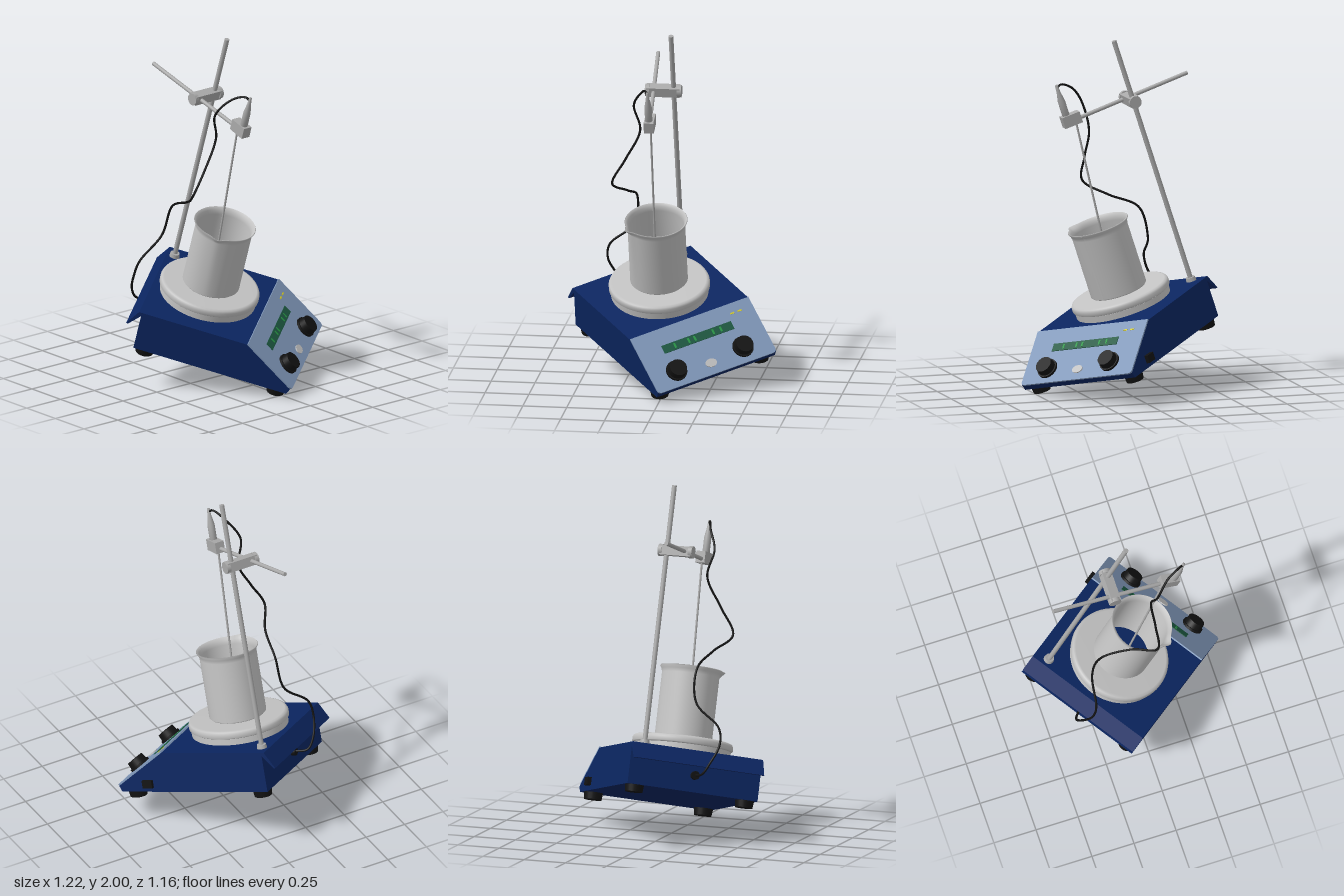
import * as THREE from 'three';

const mat = (name, hex, side = THREE.FrontSide) => {
  const m = new THREE.MeshStandardMaterial({ color: hex, side });
  m.name = name;
  return m;
};

export function createModel() {
  const navy = mat('navy housing', 0x0b2560);
  const slate = mat('slate blue panel', 0x8199bb);
  const black = mat('black rubber', 0x121212);
  const lightMetal = mat('light metal', 0xc2c2c2, THREE.DoubleSide);
  const steel = mat('steel', 0xa9a9a9);
  const screenGreen = mat('screen green', 0x1d5a42);
  const digitGreen = mat('digit green', 0x2a9a48);
  const yellow = mat('indicator yellow', 0xd8d030);

  const add = (parent, name, geo, material, x = 0, y = 0, z = 0) => {
    const m = new THREE.Mesh(geo, material);
    m.name = name;
    m.position.set(x, y, z);
    parent.add(m);
    return m;
  };
  const box = (w, h, d) => new THREE.BoxGeometry(w, h, d);
  const cyl = (r, h, r2 = r, n = 32) => new THREE.CylinderGeometry(r2, r, h, n);
  const lathe = (pts, n = 64) => new THREE.LatheGeometry(pts.map(p => new THREE.Vector2(...p)), n);
  // Cylinder running between two points
  const bar = (parent, name, a, b, r, material) => {
    const A = new THREE.Vector3(...a), B = new THREE.Vector3(...b), d = B.clone().sub(A);
    const m = add(parent, name, cyl(r, d.length(), r, 20), material);
    m.position.copy(A).add(B).multiplyScalar(0.5);
    m.quaternion.setFromUnitVectors(new THREE.Vector3(0, 1, 0), d.normalize());
    return m;
  };

  const root = new THREE.Group();
  root.name = 'hotplateStirrer';
  const tilted = new THREE.Group();
  tilted.name = 'tiltedAssembly';
  tilted.rotation.x = 0.3176;
  root.add(tilted);
  const base = new THREE.Group();
  base.name = 'base';
  base.rotation.y = 0.663;
  tilted.add(base);

  // Housing: side profile with sloped front and rear hood, extruded across the width
  const cx = 0.0575, W = 0.774;
  const profile = new THREE.Shape([
    [0.4, 0.2], [0.415, 0.235], [0.118, 0.437], [-0.52, 0.437], [-0.577, 0.345],
    [-0.566, 0.343], [-0.504, 0.415], [-0.504, 0.2],
  ].map(([z, y]) => new THREE.Vector2(-z, y)));
  const housing = new THREE.ExtrudeGeometry(profile, { depth: W, bevelEnabled: false });
  housing.rotateY(Math.PI / 2);
  add(base, 'housing', housing, navy, cx - W / 2, 0, 0);

  // Feet
  for (const x of [-0.27, 0.385]) for (const z of [-0.445, 0.33])
    add(base, 'foot', cyl(0.05, 0.045, 0.055, 24), black, x, 0.1825, z);

  // Side switch and rear cable socket
  add(base, 'sideSwitch', box(0.03, 0.045, 0.06), black, 0.452, 0.25, 0.23);
  add(base, 'cableSocket', cyl(0.024, 0.03), black, cx, 0.295, -0.514).rotation.x = Math.PI / 2;

  // Sloped control panel
  const panel = new THREE.Group();
  panel.name = 'controlPanel';
  panel.position.set(cx, 0.3375, 0.273);
  panel.rotation.x = -0.974;
  base.add(panel);
  const w = W / 2, h = 0.1825, r = 0.025;
  const face = new THREE.Shape();
  face.moveTo(-w, h);
  face.lineTo(-w, -h + r);
  face.quadraticCurveTo(-w, -h, -w + r, -h);
  face.lineTo(w - r, -h);
  face.quadraticCurveTo(w, -h, w, -h + r);
  face.lineTo(w, h);
  add(panel, 'panelFace', new THREE.ExtrudeGeometry(face, { depth: 0.009, bevelEnabled: false }), slate, 0, 0, -0.005);
  add(panel, 'display', box(0.455, 0.05, 0.006), screenGreen, -0.01, 0.055, 0.005);
  for (const x of [-0.16, -0.07, -0.03, 0.09, 0.14])
    add(panel, 'displayDigit', box(0.012, 0.03, 0.004), digitGreen, x, 0.055, 0.0075);
  for (const x of [0.25, 0.298])
    add(panel, 'indicator', box(0.026, 0.009, 0.004), yellow, x, 0.122, 0.005);
  const button = add(panel, 'button', cyl(0.035, 0.008, 0.035, 24), lightMetal, -0.01, -0.115, 0.006);
  button.rotation.x = Math.PI / 2;
  button.scale.z = 0.72;
  for (const x of [-0.225, 0.21]) {
    const knob = new THREE.Group();
    knob.name = 'knob';
    knob.position.set(x, -0.09, 0);
    knob.rotation.x = Math.PI / 2;
    panel.add(knob);
    add(knob, 'knobSkirt', cyl(0.061, 0.016), black, 0, 0.01, 0);
    add(knob, 'knobGrip', cyl(0.054, 0.042, 0.05), black, 0, 0.034, 0);
  }

  // Heating plate: lower ring and rounded upper disc
  const pz = -0.205;
  add(base, 'plateRing', cyl(0.276, 0.036, 0.276, 64), lightMetal, cx, 0.455, pz);
  add(base, 'heatingPlate', lathe([[0, 0.474], [0.278, 0.474], [0.286, 0.48], [0.286, 0.502],
    [0.28, 0.514], [0.266, 0.52], [0, 0.52]]), lightMetal, cx, 0, pz);

  // Beaker with flared rim and a pouring spout
  const beaker = lathe([[0.155, 0.522], [0.163, 0.53], [0.163, 0.885], [0.168, 0.907], [0.178, 0.922],
    [0.174, 0.927], [0.162, 0.91], [0.156, 0.885], [0.156, 0.525]], 72);
  const p = beaker.attributes.position;
  for (let i = 0; i < p.count; i++) {
    const x = p.getX(i), z = p.getZ(i), y = p.getY(i);
    const a = Math.atan2(z, -x);
    const push = 0.025 * Math.exp(-(a * a) / 0.03) * THREE.MathUtils.smoothstep(y, 0.87, 0.925);
    p.setX(i, x - push);
  }
  beaker.computeVertexNormals();
  add(base, 'beaker', beaker, lightMetal, cx, 0, pz);
  add(base, 'beakerFloor', cyl(0.157, 0.006, 0.157, 48), navy, cx, 0.527, pz);

  // Support rod with its collar
  const rx = -0.006, rz = -0.596, ay = 1.54;
  add(tilted, 'rodCollar', cyl(0.03, 0.024, 0.026), steel, rx, 0.447, rz);
  bar(tilted, 'supportRod', [rx, 0.43, rz], [rx, 1.91, rz], 0.014, steel);

  // Clamp block and cross arm
  add(tilted, 'clampBlock', box(0.19, 0.056, 0.056), steel, -0.065, ay, rz);
  for (const x of [-0.155, 0.027])
    add(tilted, 'clampKnob', cyl(0.035, 0.024, 0.035, 20), steel, x, ay, rz).rotation.z = Math.PI / 2;
  bar(tilted, 'crossArm', [-0.145, ay, -0.98], [-0.1, ay, -0.28], 0.0115, steel);

  // Probe holder, handle and thin probe
  add(tilted, 'probeHolder', box(0.056, 0.066, 0.108), steel, -0.095, 1.55, -0.241);
  add(tilted, 'probeHandle', lathe([[0, 1.57], [0.021, 1.57], [0.021, 1.67], [0.011, 1.725], [0.008, 1.768], [0, 1.768]], 24),
    steel, -0.097, 0, -0.22);
  bar(tilted, 'probe', [-0.095, 1.52, -0.263], [-0.093, 0.6, -0.183], 0.006, steel);

  // Cable from the handle to the rear socket
  const path = new THREE.CatmullRomCurve3([
    [-0.097, 1.73, 0.337], [-0.11, 1.748, 0.315], [-0.145, 1.72, 0.235], [-0.2, 1.62, 0.155],
    [-0.168, 1.47, 0.125], [-0.25, 1.3, 0.125], [-0.33, 1.15, 0.11], [-0.26, 1.075, -0.02],
    [-0.228, 1.0, -0.19], [-0.25, 0.82, -0.252], [-0.395, 0.69, -0.275], [-0.412, 0.6, -0.305],
    [-0.375, 0.5, -0.365], [-0.335, 0.44, -0.375], [-0.268, 0.418, -0.325],
  ].map(q => new THREE.Vector3(...q)));
  add(root, 'cable', new THREE.TubeGeometry(path, 160, 0.0065, 8), black);

  return root;
}
